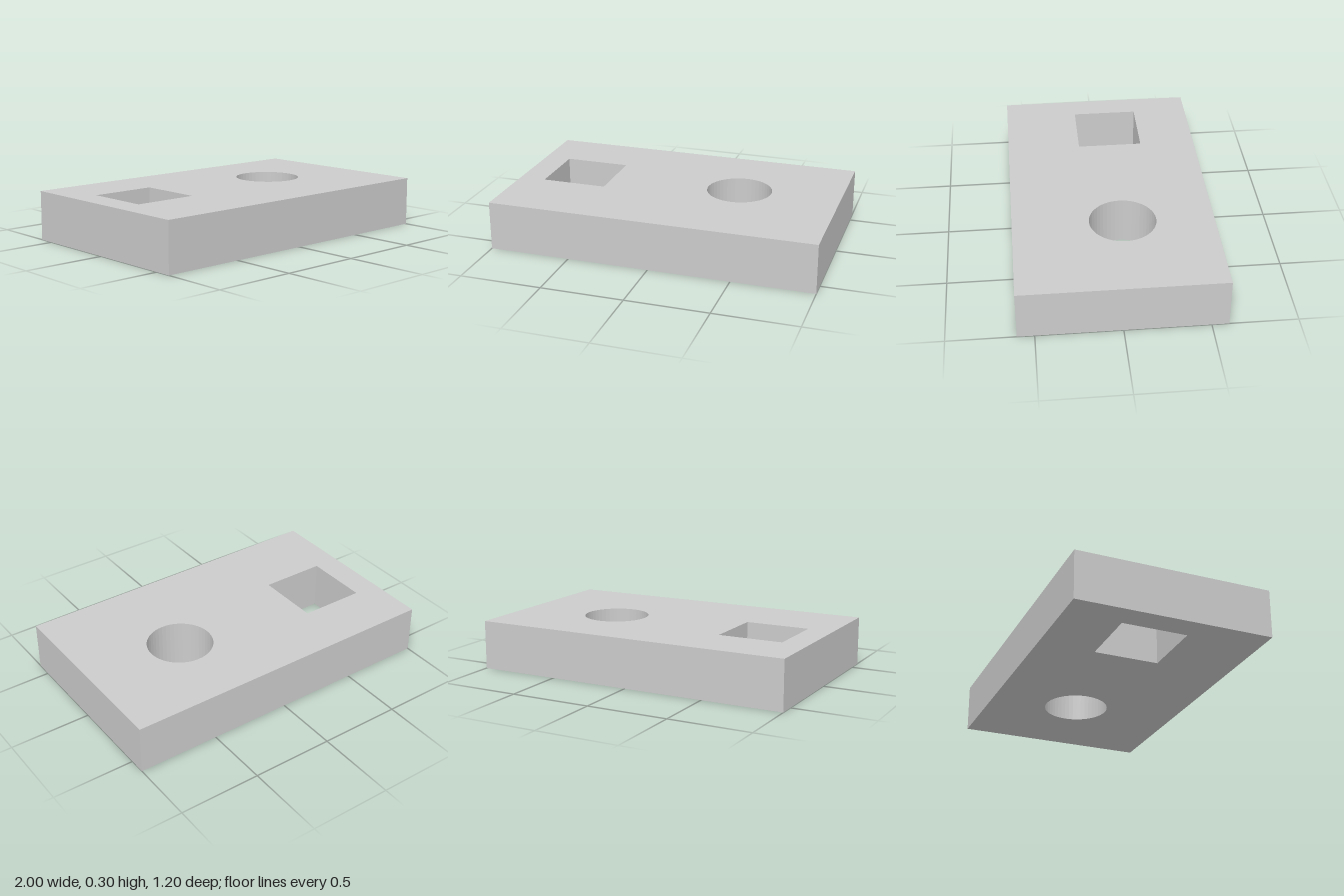
import * as THREE from 'three';

// Rectangle outline; plan coordinates are x and -z
function rectangle(Type, cx, cy, w, d) {
  const x = w / 2, y = d / 2;
  return new Type([[-x, -y], [x, -y], [x, y], [-x, y]].map(([px, py]) => new THREE.Vector2(cx + px, cy + py)));
}

export function createModel() {
  const group = new THREE.Group();
  group.name = 'plateWithHoles';

  // Slab outline with a square and a round through hole
  const outline = rectangle(THREE.Shape, 0, 0, 2, 1.2);
  const squareHole = rectangle(THREE.Path, -0.64, 0.055, 0.4, 0.4);
  const roundHole = new THREE.Path().absarc(0.377, 0.055, 0.2, 0, Math.PI * 2, true);
  outline.holes.push(squareHole, roundHole);

  // Extrude to the slab thickness and lay it flat on the ground
  const geometry = new THREE.ExtrudeGeometry(outline, { depth: 0.3, bevelEnabled: false, curveSegments: 24 });
  geometry.rotateX(-Math.PI / 2);

  const plate = new THREE.Mesh(geometry, new THREE.MeshStandardMaterial({ color: 0xcccccc, flatShading: true }));
  plate.name = 'plate';
  group.add(plate);
  return group;
}
